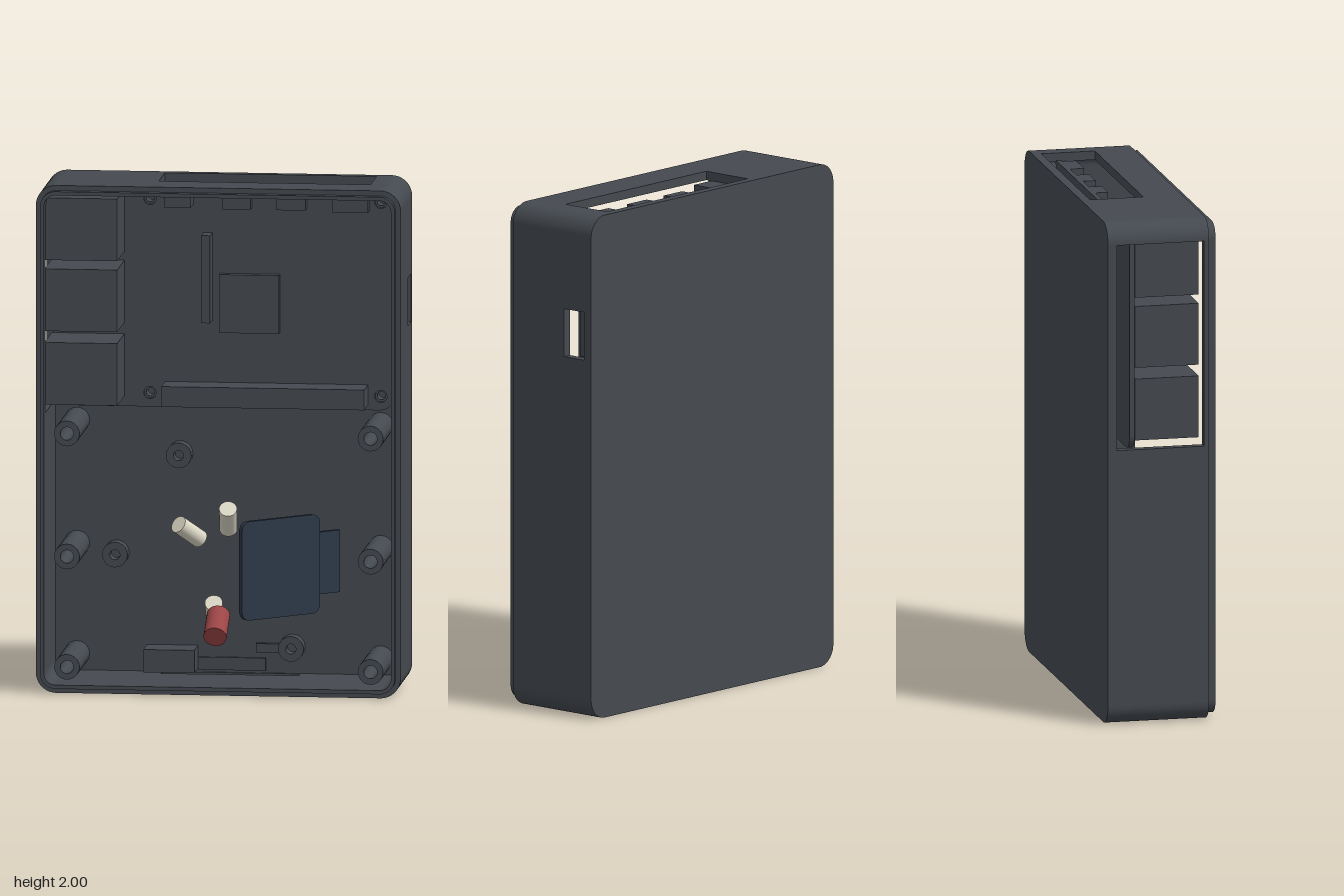
import * as THREE from 'three';

const W = 0.715, H = 2, R = 0.08, T = 0.035;      // half width, height, corner radius, wall
const BACK = -0.27, FLOOR = -0.235, RIM = 0.135, LIP = 0.165;
const BOARD = -0.155;                             // front face of the circuit board

const mat = (color) => new THREE.MeshStandardMaterial({ color, side: THREE.DoubleSide });

function roundRect(x0, y0, x1, y1, r, Type = THREE.Shape) {
  const s = new Type();
  s.moveTo(x0 + r, y0);
  s.lineTo(x1 - r, y0);
  s.absarc(x1 - r, y0 + r, r, -Math.PI / 2, 0, false);
  s.lineTo(x1, y1 - r);
  s.absarc(x1 - r, y1 - r, r, 0, Math.PI / 2, false);
  s.lineTo(x0 + r, y1);
  s.absarc(x0 + r, y1 - r, r, Math.PI / 2, Math.PI, false);
  s.lineTo(x0, y0 + r);
  s.absarc(x0 + r, y0 + r, r, Math.PI, Math.PI * 1.5, false);
  return s;
}

function rect(x0, y0, x1, y1, Type = THREE.Shape) {
  return new Type([[x0, y0], [x1, y0], [x1, y1], [x0, y1]].map(([x, y]) => new THREE.Vector2(x, y)));
}

const extrude = (shape, depth) =>
  new THREE.ExtrudeGeometry(shape, { depth, bevelEnabled: false, curveSegments: 10 });

export function createModel() {
  const root = new THREE.Group();
  const caseMat = mat(0x454a50), blue = mat(0x2c3746), red = mat(0x9c4546), cream = mat(0xdedac8);

  function add(name, geometry, material = caseMat, parent = root) {
    const mesh = new THREE.Mesh(geometry, material);
    mesh.name = name;
    parent.add(mesh);
    return mesh;
  }
  const slab = (name, shape, z0, z1) => {
    const m = add(name, extrude(shape, z1 - z0));
    m.position.z = z0;
    return m;
  };
  const box = (name, x0, x1, y0, y1, z0, z1) => {
    const m = add(name, new THREE.BoxGeometry(x1 - x0, y1 - y0, z1 - z0));
    m.position.set((x0 + x1) / 2, (y0 + y1) / 2, (z0 + z1) / 2);
    return m;
  };
  // Hollow post standing on the floor
  const post = (name, x, y, r, hole, z0, z1) => {
    const s = new THREE.Shape().absarc(0, 0, r, 0, Math.PI * 2, false);
    s.holes.push(new THREE.Path().absarc(0, 0, hole, 0, Math.PI * 2, true));
    slab(name, s, z0, z1).position.set(x, y, z0);
  };
  // Round rod between two points
  const rod = (name, a, b, r, material) => {
    const p = new THREE.Vector3(...a), q = new THREE.Vector3(...b);
    const d = q.clone().sub(p);
    const m = add(name, new THREE.CylinderGeometry(r, r, d.length(), 28), material);
    m.position.copy(p).add(q).multiplyScalar(0.5);
    m.quaternion.setFromUnitVectors(new THREE.Vector3(0, 1, 0), d.normalize());
  };

  // Back plate of the case
  slab('backPlate', roundRect(-W, 0, W, H, R), BACK, FLOOR);

  // Side walls with cut-outs, drawn in (z, y)
  for (const [name, x, hole] of [
    ['leftWall', W, [-0.235, 1.43, -0.13, 1.62]],
    ['rightWall', -W + T, [-0.234, 1.1, 0.115, 1.919]],
  ]) {
    const s = rect(FLOOR, R, RIM, H - R);
    s.holes.push(rect(Math.max(hole[0], FLOOR + 0.001), hole[1], hole[2], hole[3], THREE.Path));
    const m = add(name, extrude(s, T));
    m.rotation.y = -Math.PI / 2;
    m.position.x = x;
  }

  // Top and bottom walls with cut-outs, drawn in (x, z)
  for (const [name, y, hole] of [
    ['topWall', H, [-0.25, -0.234, 0.58, -0.02]],
    ['bottomWall', T, [-0.26, -0.225, 0.28, -0.18]],
  ]) {
    const s = rect(-W + R, FLOOR, W - R, RIM);
    s.holes.push(rect(...hole, THREE.Path));
    const m = add(name, extrude(s, T));
    m.rotation.x = Math.PI / 2;
    m.position.y = y;
  }

  // Rounded case corners
  const corners = [[1, H - R, 0], [-1, H - R, 1], [-1, R, 2], [1, R, 3]];
  for (const [side, y, quarter] of corners) {
    const a = quarter * Math.PI / 2, b = a + Math.PI / 2;
    const s = new THREE.Shape();
    s.absarc(0, 0, R, a, b, false);
    s.absarc(0, 0, R - T, b, a, true);
    slab('caseCorner', s, FLOOR, RIM).position.set(side * (W - R), y, FLOOR);
  }

  // Stepped lip around the open front
  const lip = roundRect(-W + 0.02, 0.02, W - 0.02, H - 0.02, 0.06);
  lip.holes.push(roundRect(-W + T, T, W - T, H - T, 0.045, THREE.Path));
  slab('frontLip', lip, RIM, LIP);

  // Tall screw posts and short mounting posts
  for (const x of [-0.595, 0.595])
    for (const y of [0.1, 0.535, 1.02]) post('screwPost', x, y, 0.05, 0.026, FLOOR, 0.12);
  for (const [x, y] of [[-0.19, 0.895], [-0.44, 0.5], [0.25, 0.14]])
    post('mountingPost', x, y, 0.05, 0.02, FLOOR, -0.175);

  // Circuit board on standoffs
  const board = roundRect(-0.68, 1.09, 0.66, 1.97, 0.06);
  for (const x of [-0.3, 0.605])
    for (const y of [1.145, 1.91]) {
      board.holes.push(new THREE.Path().absarc(x, y, 0.024, 0, Math.PI * 2, true));
      post('boardStandoff', x, y, 0.05, 0.016, FLOOR, -0.175);
    }
  slab('circuitBoard', board, -0.175, BOARD);

  // Board components: x0, x1, y0, y1, front z
  for (const y of [1.13, 1.42, 1.7]) box('sidePort', -0.685, -0.4, y, y + 0.245, BOARD, 0.1);
  for (const [name, x0, x1, y0, y1, z] of [
    ['audioPort', -0.235, -0.13, 1.89, 1.97, -0.06],
    ['displayPort', -0.01, 0.1, 1.88, 1.97, -0.105],
    ['displayPort', 0.2, 0.315, 1.88, 1.97, -0.105],
    ['powerPort', 0.42, 0.56, 1.875, 1.97, -0.1],
    ['ribbonSocket', -0.09, -0.055, 1.435, 1.78, -0.07],
    ['processor', -0.025, 0.21, 1.39, 1.62, -0.12],
    ['pinHeader', -0.24, 0.555, 1.11, 1.19, -0.02],
  ]) box(name, x0, x1, y0, y1, BOARD, z);
  box('cardSocket', 0.48, 0.67, 1.43, 1.62, -0.207, -0.175);

  // Charging parts beside the bottom slot
  box('connectorBlock', -0.32, -0.12, 0.05, 0.14, FLOOR, -0.1);
  box('chargerBoard', -0.12, 0.145, 0.045, 0.095, FLOOR, -0.225);
  box('chargerTab', 0.11, 0.2, 0.12, 0.155, -0.227, -0.203);

  // Tilted sensor plate with its connector
  const sensor = new THREE.Group();
  sensor.name = 'sensorModule';
  add('sensorPlate', extrude(roundRect(0, 0, 0.375, 0.39, 0.035), 0.02), blue, sensor);
  const tab = add('sensorConnector', new THREE.BoxGeometry(0.11, 0.245, 0.02), blue, sensor);
  tab.position.set(0.42, 0.195, 0.005);
  sensor.position.set(0.085, 0.3, 0.16);
  sensor.rotation.y = 0.74;
  root.add(sensor);

  // Loose round parts
  rod('redCap', [0, 0.248, 0.248], [0, 0.318, 0.127], 0.045, red);
  rod('whiteRod', [-0.165, 0.66, 0.056], [-0.09, 0.59, -0.03], 0.035, cream);
  rod('whiteRod', [0.03, 0.725, 0.06], [0.02, 0.63, -0.04], 0.035, cream);
  rod('whiteRod', [-0.025, 0.355, 0.07], [-0.03, 0.27, -0.03], 0.035, cream);

  return root;
}
